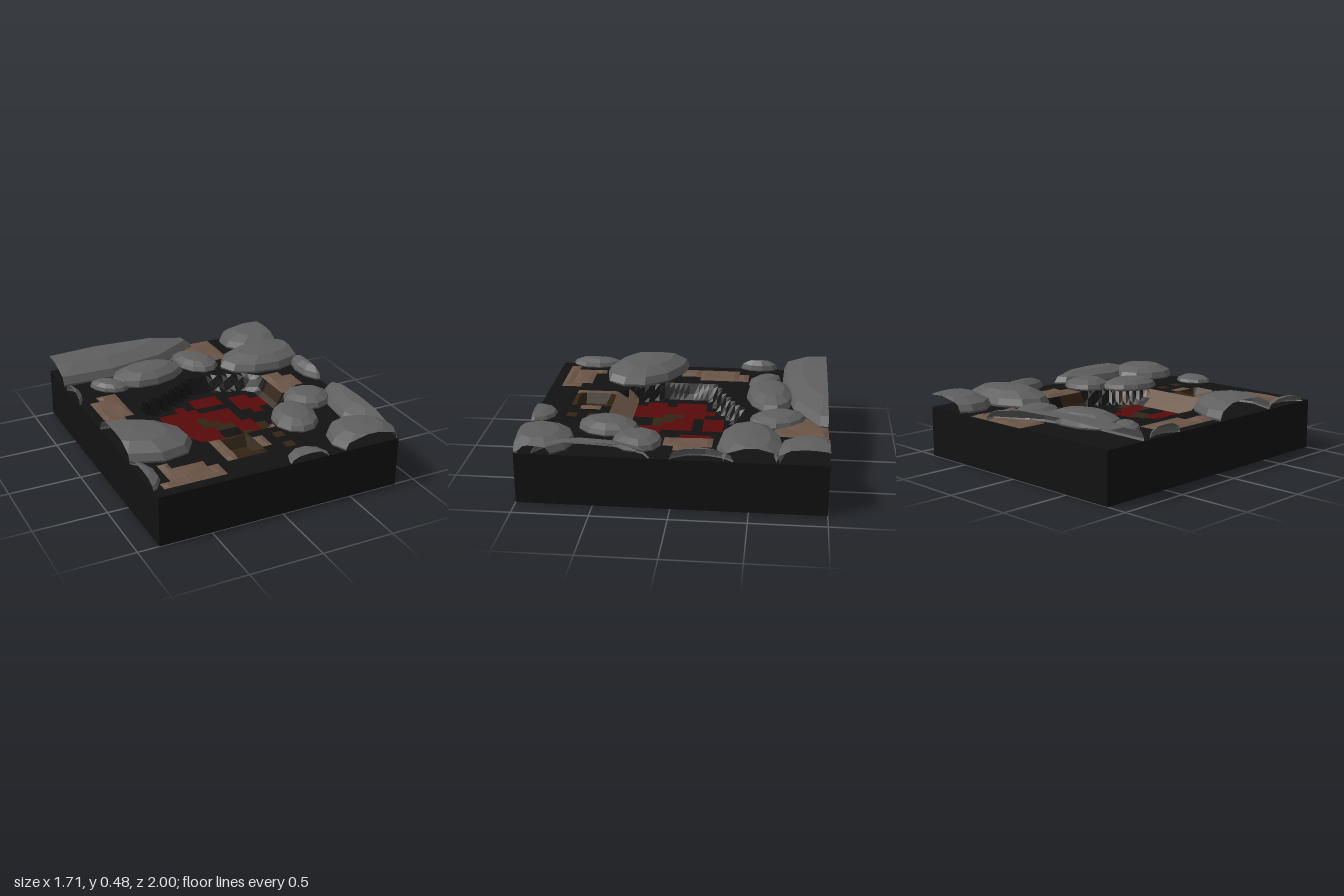
import * as THREE from 'three';

const HX = 0.855, HZ = 1, TOP = 0.345;
const NX = 48, NZ = 56, DX = 2 * HX / NX, DZ = 2 * HZ / NZ;

const mat = (color, side = THREE.FrontSide) => new THREE.MeshStandardMaterial({ color, side, flatShading: true });
const mats = {
  ash: mat(0x121212), red: mat(0x580909), sand: mat(0x6a5446), soil: mat(0x322314),
  rock: mat(0x5f5f5f, THREE.DoubleSide)
};

// Outline of the sunken pit, as x, z corners
const PIT = [[0, -0.42], [0.14, -0.42], [0.42, -0.32], [0.5, -0.22], [0.5, 0.08], [0.43, 0.27], [0.25, 0.43],
  [0.15, 0.5], [-0.3, 0.5], [-0.4, 0.36], [-0.47, 0.2], [-0.5, -0.02], [-0.47, -0.2], [-0.25, -0.28]];

// Pit floor tiles: r = red, b = soil, . = ash
const FLOOR = [
  '....rrr.....',
  '..r.rrr.rr..',
  'rrrr....rrr.',
  'rrrrrrr.rrrb',
  'rrrbrrr..r.b',
  '.rrbbrr.....',
  'rrrrbbrr....',
  'rrrr..rrb...',
  '.rrr..brb...'
];

// Sand and soil patches: x0, z0, x1, z1
const SAND = [
  [-0.72, -0.43, -0.57, -0.36], [-0.79, -0.36, -0.57, -0.08], [-0.79, -0.08, -0.65, 0.06],
  [0.5, -0.26, 0.64, 0.08], [0.6, -0.18, 0.71, 0.01],
  [0.18, -1, 0.43, -0.65], [-0.07, -1, 0.2, -0.79],
  [-0.3, 0.35, 0.14, 0.5], [0.1, 0.42, 0.21, 0.5], [-0.36, 0.35, -0.28, 0.42], [-0.29, 0.5, 0, 0.78],
  [0, 0.58, 0.07, 0.71],
  [-0.79, 0.86, -0.36, 0.93], [-0.72, 0.72, -0.43, 0.87], [-0.72, 0.65, -0.65, 0.75], [-0.44, 0.79, -0.36, 0.9]
];
const SOIL = [[-0.22, 0.5, 0, 0.78], [0.14, 0.57, 0.21, 0.64], [0.14, 0.71, 0.21, 0.78],
  [0.43, -0.16, 0.5, 0.02], [0.2, 0.28, 0.4, 0.37]];

const inRects = (rects, x, z, m = 0) =>
  rects.some(([a, b, c, d]) => x > a + m && x < c - m && z > b + m && z < d - m);

// Distance inside the pit outline, 0 when outside
function pitDistance(x, z) {
  let inside = false, best = Infinity;
  PIT.forEach(([ax, az], i) => {
    const [bx, bz] = PIT[(i + 1) % PIT.length];
    if ((az > z) !== (bz > z) && x < ax + (z - az) / (bz - az) * (bx - ax)) inside = !inside;
    const ex = bx - ax, ez = bz - az;
    const t = THREE.MathUtils.clamp(((x - ax) * ex + (z - az) * ez) / (ex * ex + ez * ez), 0, 1);
    best = Math.min(best, Math.hypot(x - ax - t * ex, z - az - t * ez));
  });
  return inside ? best : 0;
}

function groundHeight(x, z) {
  if (Math.abs(x) > HX - 0.01 || Math.abs(z) > HZ - 0.01) return TOP;
  const d = pitDistance(x, z);
  if (d > 0) return TOP - 0.105 * Math.max(0, Math.min(1, d / 0.05, (0.5 - z) / 0.15));
  if (inRects([[-0.18, 0.56, -0.03, 0.74]], x, z)) return TOP - 0.06;
  // Sand lies in a thin uneven layer
  return TOP + (inRects(SAND, x, z, 0.02) ? 0.01 + 0.006 * Math.sin(23 * x + 5) * Math.cos(19 * z) : 0);
}

function cellKind(i, j) {
  const x = -HX + (i + 0.5) * DX, z = -HZ + (j + 0.5) * DZ;
  const tile = FLOOR[Math.floor((j - 20) / 2)]?.[Math.floor((i - 14) / 2)];
  if (tile === 'r') return 'red';
  if (tile === 'b' || inRects(SOIL, x, z)) return 'soil';
  return inRects(SAND, x, z) ? 'sand' : 'ash';
}

function meshFrom(positions, material, name) {
  const g = new THREE.BufferGeometry();
  g.setAttribute('position', new THREE.Float32BufferAttribute(positions, 3));
  g.computeVertexNormals();
  const m = new THREE.Mesh(g, material);
  m.name = name;
  return m;
}

// Top surface: a height grid, split by ground kind
function buildGround() {
  const group = new THREE.Group();
  group.name = 'ground';
  const lists = { ash: [], red: [], sand: [], soil: [] };
  const point = (i, j) => {
    const x = -HX + i * DX, z = -HZ + j * DZ;
    return [x, groundHeight(x, z), z];
  };
  for (let j = 0; j < NZ; j++) for (let i = 0; i < NX; i++) {
    const a = point(i, j), b = point(i + 1, j), c = point(i + 1, j + 1), d = point(i, j + 1);
    lists[cellKind(i, j)].push(...a, ...d, ...c, ...a, ...c, ...b);
  }
  const names = { ash: 'ashGround', red: 'redPitFloor', sand: 'sandPatches', soil: 'soilPatches' };
  for (const k in lists) group.add(meshFrom(lists[k], mats[k], names[k]));
  return group;
}

// Cut a polygon at the plane where side * p[axis] = limit
function clip(poly, axis, side, limit) {
  const out = [];
  poly.forEach((p, i) => {
    const q = poly[(i + 1) % poly.length];
    const dp = limit - side * p[axis], dq = limit - side * q[axis];
    if (dp >= 0) out.push(p);
    if ((dp >= 0) !== (dq >= 0)) out.push(p.map((v, k) => v + (q[k] - v) * dp / (dp - dq)));
  });
  return out;
}

// Faceted dome, trimmed where it passes the edge of the slab
function buildRock([cx, cz, rx, rz, turn, top], index) {
  const profile = [[0.98, -0.05], [1, 0.12], [0.92, 0.52], [0.58, 0.88], [0, 1]]
    .map(([r, y]) => new THREE.Vector2(r, y));
  const dome = new THREE.LatheGeometry(profile, 11).toNonIndexed().attributes.position;
  const c = Math.cos(turn), s = Math.sin(turn), pts = [];
  for (let i = 0; i < dome.count; i++) {
    const px = dome.getX(i), pz = dome.getZ(i), a = Math.atan2(pz, px);
    const k = 1.01 + 0.025 * Math.sin(2 * a + index) + 0.02 * Math.sin(3 * a + 2 * index);
    const x = px * rx * k, z = pz * rz * k;
    pts.push([cx + c * x - s * z, TOP + dome.getY(i) * (top - TOP), cz + s * x + c * z]);
  }
  const out = [];
  for (let i = 0; i < pts.length; i += 3) {
    let poly = pts.slice(i, i + 3);
    for (const [axis, limit] of [[0, HX], [2, HZ]])
      for (const side of [1, -1]) poly = clip(poly, axis, side, limit);
    for (let k = 1; k + 1 < poly.length; k++) out.push(...poly[0], ...poly[k], ...poly[k + 1]);
  }
  return meshFrom(out, mats.rock, 'rock' + (index + 1));
}

// Rocks: centre x, centre z, radius x, radius z, turn, top height
const ROCKS = [
  [-0.5, -1.01, 0.79, 0.335, -0.1, 0.476], [-0.25, -0.6, 0.275, 0.17, -0.12, 0.44],
  [-0.565, -0.55, 0.14, 0.09, 0.75, 0.4], [0.16, -0.66, 0.195, 0.14, 1.25, 0.412],
  [0.78, -0.87, 0.3, 0.215, 0.1, 0.452], [0.65, -0.5, 0.36, 0.21, -0.12, 0.46],
  [0.9, -0.19, 0.13, 0.22, 0, 0.435], [0.92, 0.49, 0.25, 0.41, 0.2, 0.445],
  [0.605, 0.235, 0.16, 0.165, 0, 0.42], [0.38, 0.46, 0.155, 0.21, 0.2, 0.42],
  [0.65, 0.87, 0.24, 0.225, 0.3, 0.443], [0.19, 1, 0.14, 0.15, 0, 0.395],
  [-0.74, 0.32, 0.4, 0.255, 0.5, 0.465], [-0.89, 0.74, 0.13, 0.2, 0, 0.41],
  [-0.89, -0.5, 0.09, 0.155, 0, 0.425]
];

export function createModel() {
  const model = new THREE.Group();
  model.name = 'rockyPitTile';

  // Slab sides and underside; the ground closes the top
  const box = new THREE.BoxGeometry(2 * HX, TOP, 2 * HZ).translate(0, TOP / 2, 0);
  const idx = Array.from(box.index.array);
  idx.splice(12, 6);
  box.setIndex(idx);
  box.clearGroups();
  const slab = new THREE.Mesh(box, mats.ash);
  slab.name = 'slab';

  const rocks = new THREE.Group();
  rocks.name = 'rocks';
  ROCKS.forEach((r, i) => rocks.add(buildRock(r, i)));

  model.add(slab, buildGround(), rocks);
  return model;
}
